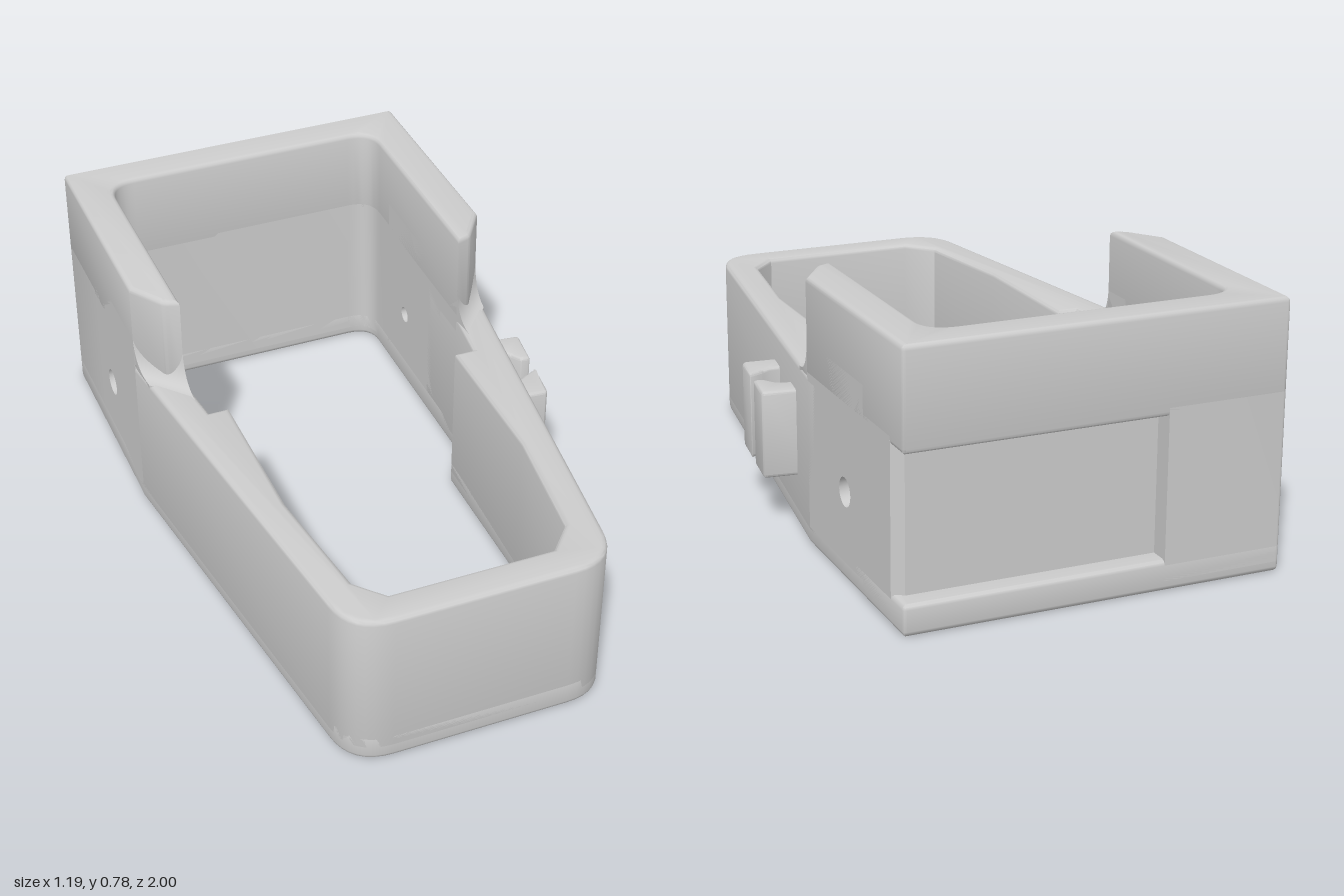
import * as THREE from 'three';
import { toCreasedNormals } from 'three/addons/utils/BufferGeometryUtils.js';

const material = new THREE.MeshStandardMaterial({ color: 0xcccccc });
const OUT = 0.555, INN = 0.44; // half widths of the rear box, outside and inside
const BEVEL = 0.015;
const taperX = z => OUT - 0.13 * Math.max(0, z + 0.31);

function part(name, geometry) {
  const mesh = new THREE.Mesh(toCreasedNormals(geometry, 0.6), material);
  mesh.name = name;
  return mesh;
}

// Closed outline from [x, z, cornerRadius] points; z is flipped for the extrusion
function outline(points, Type = THREE.Shape) {
  const path = new Type();
  const n = points.length;
  const v = i => new THREE.Vector2(points[(i + n) % n][0], -points[(i + n) % n][1]);
  points.forEach(([, , r = 0], i) => {
    const p = v(i);
    const a = p.clone().add(v(i - 1).sub(p).setLength(r));
    const b = p.clone().add(v(i + 1).sub(p).setLength(r));
    if (i === 0) path.moveTo(a.x, a.y); else path.lineTo(a.x, a.y);
    if (r) path.quadraticCurveTo(p.x, p.y, b.x, b.y);
  });
  path.closePath();
  return path;
}

// Upright slab with a plan outline between two heights
function slab(name, shape, y0, y1, bevel = BEVEL) {
  const g = new THREE.ExtrudeGeometry(shape, {
    depth: y1 - y0 - 2 * bevel, bevelEnabled: bevel > 0, bevelThickness: bevel,
    bevelSize: bevel, bevelOffset: -bevel, bevelSegments: 3, curveSegments: 8,
  });
  g.rotateX(-Math.PI / 2).translate(0, y0 + bevel, 0);
  return part(name, g);
}

// Adds the mirrored half of an open outline, in reverse order
const mirrored = half => [...half, ...half.slice().reverse().map(([x, z, r]) => [-x, z, r])];

// Side wall plate with a round hole, lying between x0 and x1
function sidePlate(x0, x1, radius) {
  const shape = new THREE.Shape([[0.31, 0.05], [0.73, 0.05], [0.73, 0.6], [0.31, 0.6]]
    .map(p => new THREE.Vector2(...p)));
  shape.holes.push(new THREE.Path().absarc(0.59, 0.255, radius, 0, Math.PI * 2, true));
  const g = new THREE.ExtrudeGeometry(shape, { depth: x1 - x0, bevelEnabled: false, curveSegments: 10 });
  return part('sidePlate', g.rotateY(Math.PI / 2).translate(x0, 0, 0));
}

// Concave foot between the raised wall's slanted end and the low rim
function wallFillet(side) {
  const s = new THREE.Shape();
  s.moveTo(0.32, 0.45);
  s.lineTo(0.32, 0.6);
  s.lineTo(0.19, 0.6);
  s.quadraticCurveTo(0.18, 0.5, 0.09, 0.499);
  s.lineTo(0.09, 0.45);
  const g = new THREE.ExtrudeGeometry(s, { depth: 1, bevelEnabled: false, curveSegments: 10 });
  g.rotateY(Math.PI / 2);
  const p = g.attributes.position;
  for (let i = 0; i < p.count; i++) {
    const u = side > 0 ? p.getX(i) : 1 - p.getX(i);
    const z = p.getZ(i) - 0.12 * u;
    p.setXYZ(i, side * THREE.MathUtils.lerp(INN, taperX(z), u), p.getY(i), z);
  }
  g.computeVertexNormals();
  return part('wallFillet', g);
}

export function createModel() {
  const group = new THREE.Group();
  group.name = 'holder';
  const body = new THREE.Group();
  body.name = 'body';
  body.position.x = -0.038;
  group.add(body);

  // Inner contour from the rear pocket to the chamfered nose
  const innerFront = [[INN, -0.19], [0.42, -0.02], [0.36, -0.02], [0.36, 0.45], [0.312, 0.82], [0.24, 0.9]];
  const nose = [0.385, 1, 0.125];

  // Base ring; its opening winds against the outside
  const base = outline(mirrored([[OUT, -1, 0.01], [OUT, -0.31], nose]));
  base.holes.push(outline(mirrored([[INN, -0.89, 0.08], ...innerFront]).reverse(), THREE.Path));
  body.add(slab('baseRing', base, 0, 0.09));

  // Low tapered front wall
  const outerRun = [[OUT, -0.4], [OUT, -0.31], nose];
  const front = outline([
    ...mirrored(outerRun),
    [-INN, -0.4],
    ...innerFront.map(([x, z]) => [-x, z]),
    ...innerFront.slice().reverse(),
    [INN, -0.4],
  ]);
  body.add(slab('frontWall', front, 0.03, 0.5));

  // Rear wall with a shallow slide slot, open toward the left side
  const rear = outline([
    [-OUT, -0.72], [-OUT, -1, 0.01], [-0.2, -1], [-0.2, -0.94], [0.525, -0.94], [OUT, -0.915],
    [OUT, -0.72], [INN, -0.72], [INN, -0.89, 0.08], [-INN, -0.89, 0.08], [-INN, -0.72],
  ]);
  body.add(slab('slottedRearWall', rear, 0.03, 0.52, 0));

  // Raised U around the rear, with slanted ends
  const raised = outline([
    [OUT, -0.31], [0.485, -0.205, 0.015], [INN, -0.19], [INN, -0.89, 0.08],
    [-INN, -0.89, 0.08], [-INN, -0.19], [-0.485, -0.205, 0.015], [-OUT, -0.31],
    [-OUT, -1, 0.01], [OUT, -1, 0.01],
  ]);
  body.add(slab('raisedWall', raised, 0.495, 0.783));

  // Side plates with countersunk pin holes, and the wall fillets
  for (const side of [1, -1]) {
    for (const [a, b, r] of [[INN, 0.525, 0.026], [0.525, OUT, 0.042]]) {
      body.add(side > 0 ? sidePlate(a, b, r) : sidePlate(-b, -a, r));
    }
    body.add(wallFillet(side));
  }

  // Pair of facing hooks on the left side
  const frontHook = outline([
    [0.44, 0.06], [0.5, 0.06], [0.53, 0.045, 0.01], [0.572, 0.028, 0.008], [0.556, 0.15, 0.015], [0.44, 0.14],
  ]);
  const rearHook = outline([
    [0.45, -0.165], [0.596, -0.148, 0.012], [0.58, -0.025, 0.01], [0.55, -0.03, 0.01],
    [0.522, -0.075, 0.02], [0.45, -0.085],
  ]);
  group.add(slab('frontHook', frontHook, 0.15, 0.41, 0.01));
  group.add(slab('rearHook', rearHook, 0.15, 0.41, 0.01));
  return group;
}
